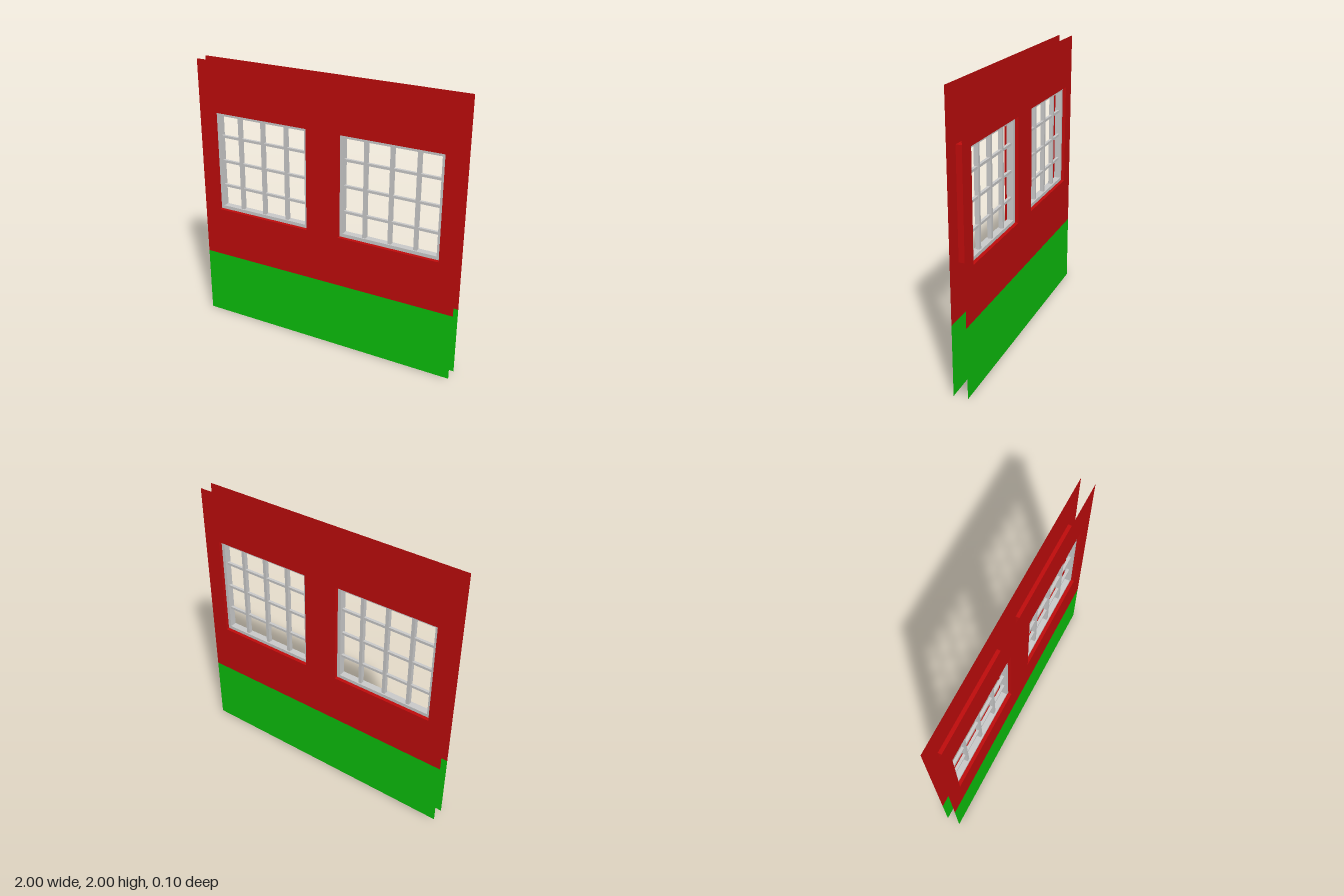
import * as THREE from 'three';

const red = new THREE.MeshStandardMaterial({ color: 0xc00c0c, side: THREE.DoubleSide });
const green = new THREE.MeshStandardMaterial({ color: 0x0cc00c, side: THREE.DoubleSide });
const grey = new THREE.MeshStandardMaterial({ color: 0xcccccc });

const HALF = 0.05; // half the wall thickness
const SIZE = 0.75; // window opening
const CY = 1.25; // window centre height
const CENTRES = [-0.5, 0.5];

function add(parent, name, geometry, material, x = 0, y = 0, z = 0) {
  const mesh = new THREE.Mesh(geometry, material);
  mesh.name = name;
  mesh.position.set(x, y, z);
  parent.add(mesh);
  return mesh;
}

function rectangle(PathType, x0, y0, x1, y1) {
  return new PathType([[x0, y0], [x1, y0], [x1, y1], [x0, y1]].map(([x, y]) => new THREE.Vector2(x, y)));
}

// One thin wall sheet facing +z: painted upper part with openings, plinth band below
function makeSheet(name) {
  const sheet = new THREE.Group();
  sheet.name = name;
  const wall = rectangle(THREE.Shape, -1, 0.5, 1, 2);
  for (const x of CENTRES) {
    wall.holes.push(rectangle(THREE.Path, x - SIZE / 2, CY - SIZE / 2, x + SIZE / 2, CY + SIZE / 2));
  }
  add(sheet, 'upperWall', new THREE.ShapeGeometry(wall), red);
  add(sheet, 'plinth', new THREE.PlaneGeometry(2, 0.5), green, 0, 0.25, 0);
  return sheet;
}

// Window centred on its own origin: reveal, frame and glazing bars
function makeWindow(name) {
  const group = new THREE.Group();
  group.name = name;
  const h = SIZE / 2;
  const border = 0.025;
  const depth = 0.05;

  for (const s of [-1, 1]) {
    // Lining between the two wall sheets
    const side = add(group, 'revealSide', new THREE.PlaneGeometry(2 * HALF, SIZE), red, s * h, 0, 0);
    side.rotation.y = -s * Math.PI / 2;
    const level = add(group, 'revealLevel', new THREE.PlaneGeometry(SIZE, 2 * HALF), red, 0, s * h, 0);
    level.rotation.x = s * Math.PI / 2;

    // Outer frame, kept just clear of the lining
    const offset = h - border / 2 - 0.001;
    add(group, 'frameStile', new THREE.BoxGeometry(border, SIZE - 0.002, depth), grey, s * offset, 0, 0);
    add(group, 'frameRail', new THREE.BoxGeometry(SIZE - 2 * border, border, depth), grey, 0, s * offset, 0);
  }

  // Three bars each way
  for (const i of [-1, 0, 1]) {
    const inner = SIZE - 2 * border;
    add(group, 'verticalBar', new THREE.BoxGeometry(0.024, inner, 0.03), grey, i * 0.19, 0, 0);
    add(group, 'horizontalBar', new THREE.BoxGeometry(inner, 0.018, 0.02), grey, 0, i * 0.19, 0);
  }
  return group;
}

export function createModel() {
  const model = new THREE.Group();
  model.name = 'wallWithWindows';

  const front = makeSheet('frontSheet');
  front.position.z = HALF;
  const back = makeSheet('backSheet');
  back.rotation.y = Math.PI;
  back.position.z = -HALF;
  model.add(front, back);

  CENTRES.forEach((x, i) => {
    const win = makeWindow(i ? 'leftWindow' : 'rightWindow');
    win.position.set(x, CY, 0);
    model.add(win);
  });
  return model;
}
